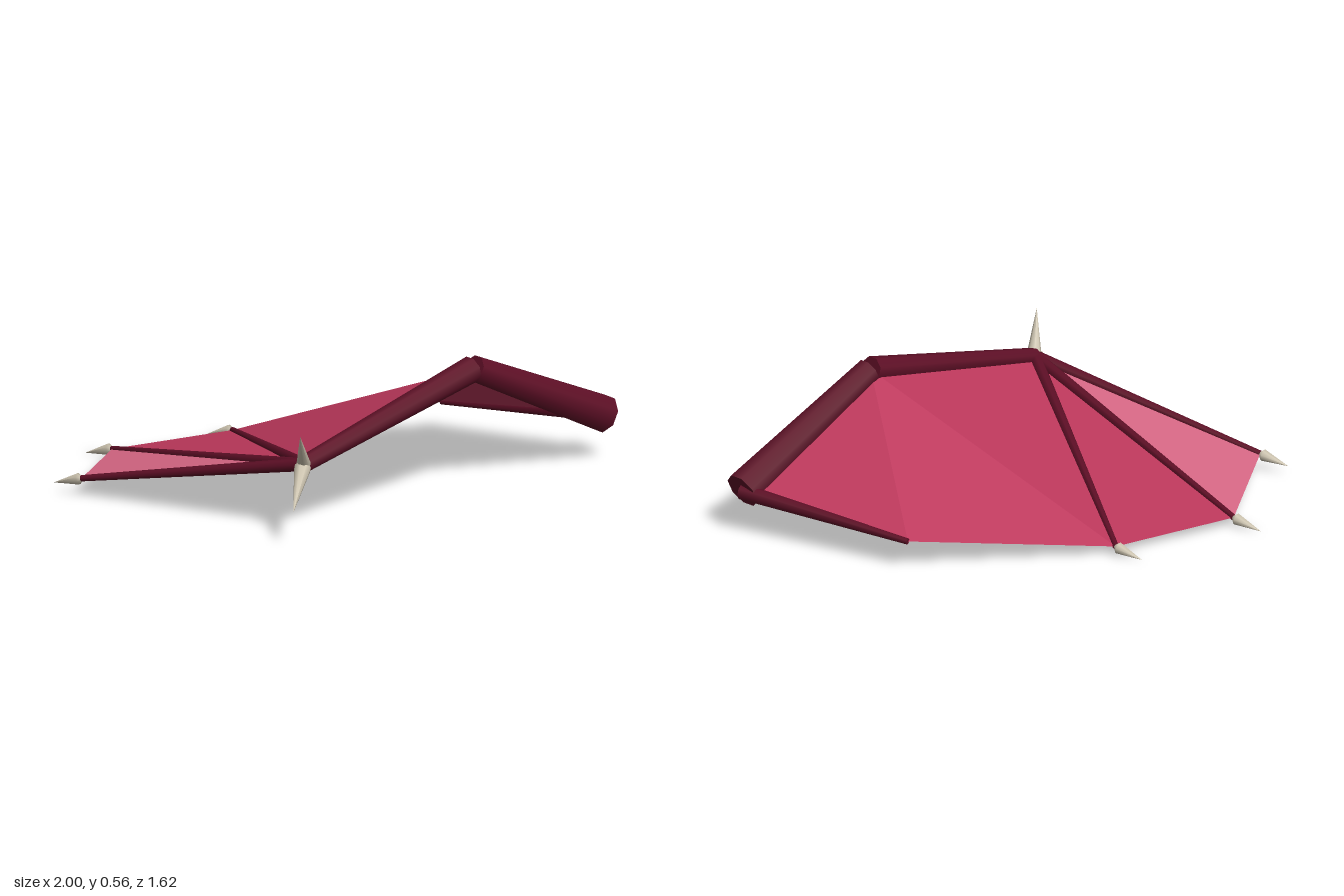
import * as THREE from 'three';

const V = (x, y, z) => new THREE.Vector3(x, y, z);
const UP = V(0, 1, 0);

// Joints of the wing
const wrist = V(-0.71, 0.285, 0.66);
const elbow = V(0.235, 0.51, 0.69);
const shoulder = V(0.96, 0.187, 0.73);
const trailing = V(0.782, 0.127, -0.03);
const tips = [V(-0.96, 0.075, -0.37), V(-0.46, 0.04, -0.69), V(0.09, 0.04, -0.545)];

export function createModel() {
  const wing = new THREE.Group();
  wing.name = 'wing';

  const mat = (name, color, side = THREE.FrontSide) => {
    const m = new THREE.MeshStandardMaterial({ color, side });
    m.name = name;
    return m;
  };
  const boneSkin = mat('dark crimson bone', 0x5e0f26);
  const membraneSkin = mat('crimson membrane', 0xbd385c, THREE.DoubleSide);
  const paleSkin = mat('pale pink membrane', 0xd76785, THREE.DoubleSide);
  const ivory = mat('ivory claw', 0xcdc4b0);

  const add = (name, geometry, material) => {
    const mesh = new THREE.Mesh(geometry, material);
    mesh.name = name;
    wing.add(mesh);
    return mesh;
  };

  // Place a geometry that runs along +y so that it starts at a and points at b
  const aim = (mesh, a, b) => {
    mesh.position.copy(a);
    mesh.quaternion.setFromUnitVectors(UP, b.clone().sub(a).normalize());
  };

  // Tapered eight-sided bone from a to b
  const bone = (name, a, b, ra, rb) => {
    const length = a.distanceTo(b);
    const g = new THREE.CylinderGeometry(rb, ra, length, 8, 1, false, Math.PI / 8);
    g.translate(0, length / 2, 0);
    aim(add(name, g, boneSkin), a, b);
  };

  // Pointed claw, widest a little past its root
  const claw = (name, a, b, r) => {
    const length = a.distanceTo(b);
    const profile = [[0, 0], [r, length * 0.17], [0, length]];
    const g = new THREE.LatheGeometry(profile.map(([x, y]) => new THREE.Vector2(x, y)), 8);
    aim(add(name, g, ivory), a, b);
  };

  // Thin skin panel made of a fan of triangles
  const panel = (name, material, ...corners) => {
    const points = [];
    for (let i = 1; i < corners.length - 1; i++) points.push(corners[0], corners[i], corners[i + 1]);
    const g = new THREE.BufferGeometry().setFromPoints(points);
    g.computeVertexNormals();
    add(name, g, material);
  };

  // Arm along the leading edge, and the strut along the body
  bone('forearm', wrist, elbow, 0.036, 0.056);
  bone('upperArm', elbow.clone().add(V(0.012, 0, 0)), shoulder, 0.056, 0.08);
  bone('bodyStrut', V(0.965, 0.186, 0.73), trailing, 0.034, 0.013);

  // Fingers with a claw at each end
  const clawTips = [V(-1.0, 0.042, -0.49), V(-0.49, 0.005, -0.815), V(0.06, 0.005, -0.665)];
  tips.forEach((tip, i) => {
    bone(`finger${i + 1}`, wrist, tip, 0.028, 0.013);
    const root = tip.clone().lerp(clawTips[i], -0.08);
    claw(`fingerClaw${i + 1}`, root, clawTips[i], 0.025);
  });

  // Wrist claws
  claw('largeWristClaw', V(-0.69, 0.3, 0.645), V(-0.92, 0.15, 0.81), 0.036);
  claw('upperWristClaw', V(-0.7, 0.26, 0.655), V(-0.82, 0.44, 0.75), 0.03);

  // Membrane panels, stretched from the wrist and the elbow
  panel('outerMembrane', paleSkin, wrist, tips[1], tips[0]);
  panel('middleMembrane', membraneSkin, wrist, tips[2], tips[1]);
  panel('innerMembrane', membraneSkin, wrist, elbow, tips[2]);
  panel('bodyMembrane', membraneSkin, elbow, shoulder, trailing, tips[2]);

  return wing;
}
